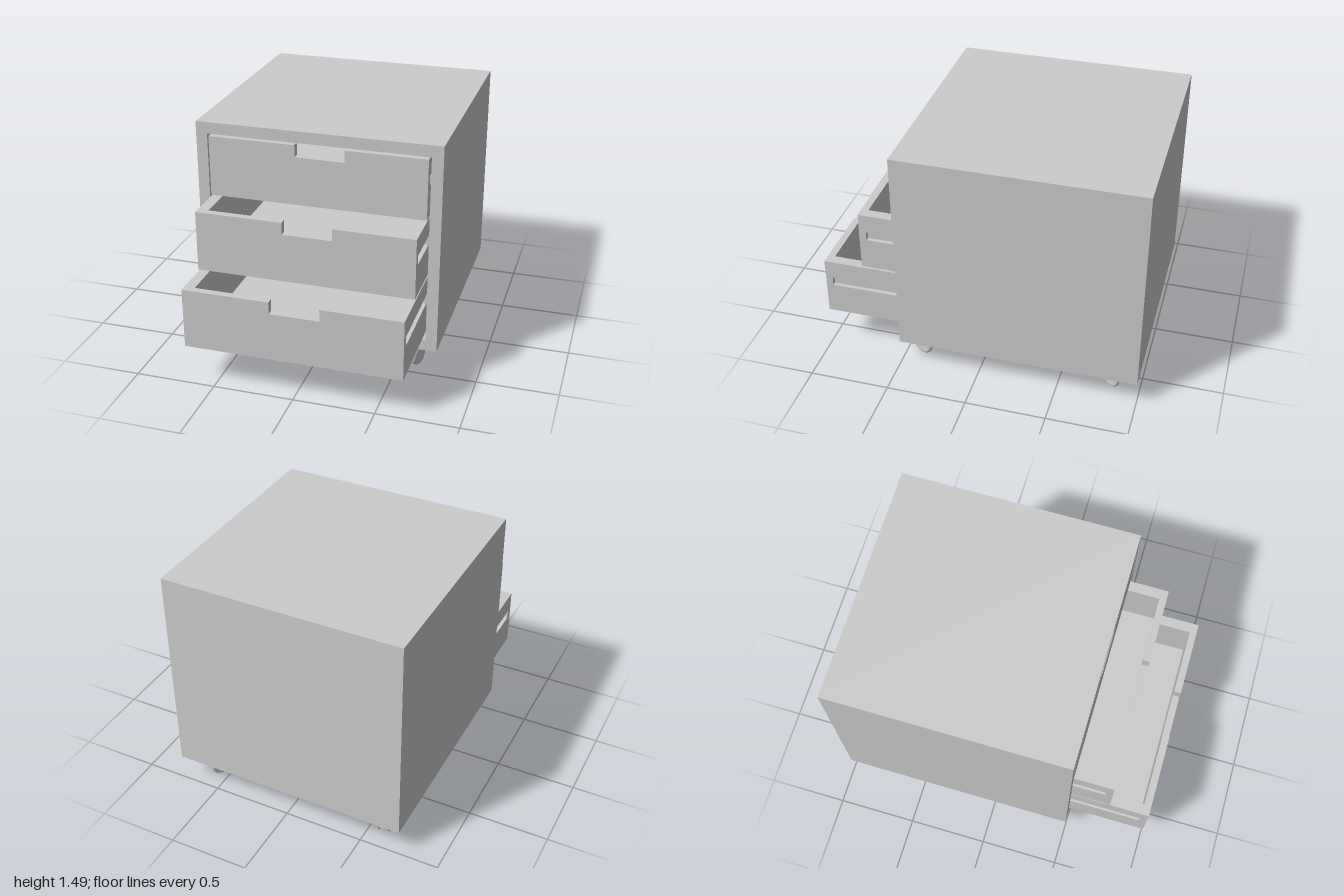
import * as THREE from 'three';

const material = new THREE.MeshStandardMaterial({ color: 0xcccccc, side: THREE.DoubleSide });

function add(parent, name, geometry, x = 0, y = 0, z = 0) {
  const mesh = new THREE.Mesh(geometry, material);
  mesh.name = name;
  mesh.position.set(x, y, z);
  parent.add(mesh);
  return mesh;
}

const polygon = (points) => new THREE.Shape(points.map(([x, y]) => new THREE.Vector2(x, y)));
const extrude = (shape, depth) => new THREE.ExtrudeGeometry(shape, { depth, bevelEnabled: false });
const rectangle = (x0, y0, x1, y1) => polygon([[x0, y0], [x1, y0], [x1, y1], [x0, y1]]);

const DRAWER_HEIGHT = 0.377, DRAWER_LENGTH = 1.42, PANEL = 0.045;
const GROOVE_LOW = 0.202, GROOVE_HIGH = 0.26;

// Open-topped drawer; its origin is the bottom of the front face
function createDrawer() {
  const drawer = new THREE.Group();
  drawer.name = 'drawer';
  const w = 0.668, inner = 0.603, h = DRAWER_HEIGHT, groove = w - 0.025;

  // Front panel with a finger notch in its top edge
  const front = polygon([[-w, 0], [w, 0], [w, h], [0.174, h], [0.174, h - 0.075],
    [-0.131, h - 0.075], [-0.131, h], [-w, h]]);
  add(drawer, 'drawerFront', extrude(front, PANEL), 0, 0, -PANEL);

  // U-shaped body with a runner groove along each side
  const half = [[w, 0], [w, GROOVE_LOW], [groove, GROOVE_LOW], [groove, GROOVE_HIGH],
    [w, GROOVE_HIGH], [w, h], [inner, h], [inner, 0.055]];
  const mirrored = half.map(([x, y]) => [-x, y]).reverse();
  add(drawer, 'drawerBody', extrude(polygon([...half, ...mirrored]), DRAWER_LENGTH - PANEL),
    0, 0, -DRAWER_LENGTH);

  // Back wall
  add(drawer, 'drawerBack', new THREE.BoxGeometry(inner * 2, h - 0.055, PANEL),
    0, (h + 0.055) / 2, -DRAWER_LENGTH + PANEL / 2);
  return drawer;
}

// Twin-wheel swivel caster standing on y = 0, stem at the origin
function createCaster() {
  const caster = new THREE.Group();
  caster.name = 'caster';
  const trail = 0.024;
  add(caster, 'casterStem', new THREE.CylinderGeometry(0.016, 0.016, 0.07, 20), 0, 0.135, 0);

  // Rounded wheels
  const profile = [[0, -0.016], [0.05, -0.016], [0.059, -0.013], [0.065, -0.005],
    [0.065, 0.005], [0.059, 0.013], [0.05, 0.016], [0.045, 0.013], [0, 0.013]]
    .map(([r, y]) => new THREE.Vector2(r, y));
  const wheel = new THREE.LatheGeometry(profile, 32);
  for (const side of [-1, 1]) {
    add(caster, 'casterWheel', wheel, side * 0.03, 0.065, trail).rotation.z = -side * Math.PI / 2;
  }
  add(caster, 'casterAxle', new THREE.CylinderGeometry(0.012, 0.012, 0.06, 16), 0, 0.065, trail)
    .rotation.z = Math.PI / 2;

  // Domed hood over the upper half of the wheels
  const dome = new THREE.SphereGeometry(1, 28, 12, 0, Math.PI * 2, 0, Math.PI / 2);
  add(caster, 'casterHood', dome, 0, 0.057, trail).scale.set(0.045, 0.083, 0.079);
  // Web between the wheels
  const web = new THREE.CylinderGeometry(0.074, 0.074, 0.022, 28, 1, false, 0, Math.PI);
  add(caster, 'casterWeb', web, 0, 0.057, trail).rotation.z = Math.PI / 2;
  return caster;
}

export function createModel() {
  const model = new THREE.Group();
  model.name = 'drawerCabinet';

  // Cabinet shell, open at the front
  const shell = rectangle(-0.75, 0.167, 0.75, 1.492);
  shell.holes.push(rectangle(-0.68, 0.24, 0.68, 1.42));
  add(model, 'cabinetShell', extrude(shell, 1.5), 0, 0, -1);
  add(model, 'cabinetBack', new THREE.BoxGeometry(1.36, 1.18, 0.07), 0, 0.83, -0.965);

  // Drawers, pulled out further towards the bottom, with their runners
  [[0.253, 1], [0.642, 0.75], [1.028, 0.5]].forEach(([y, z]) => {
    const drawer = createDrawer();
    drawer.position.set(-0.004, y, z);
    model.add(drawer);
    for (const side of [-1, 1]) {
      add(model, 'drawerRunner', new THREE.BoxGeometry(0.03, 0.05, 1.38),
        side * 0.666, y + (GROOVE_LOW + GROOVE_HIGH) / 2, -0.24);
    }
  });

  // Casters, each swivelled differently
  [[0.595, 0.36, -0.33], [-0.595, 0.36, -0.85], [0.595, -0.858, -0.65], [-0.595, -0.858, 0.2]]
    .forEach(([x, z, yaw]) => {
      const caster = createCaster();
      caster.position.set(x, 0, z);
      caster.rotation.y = yaw;
      model.add(caster);
    });

  return model;
}
